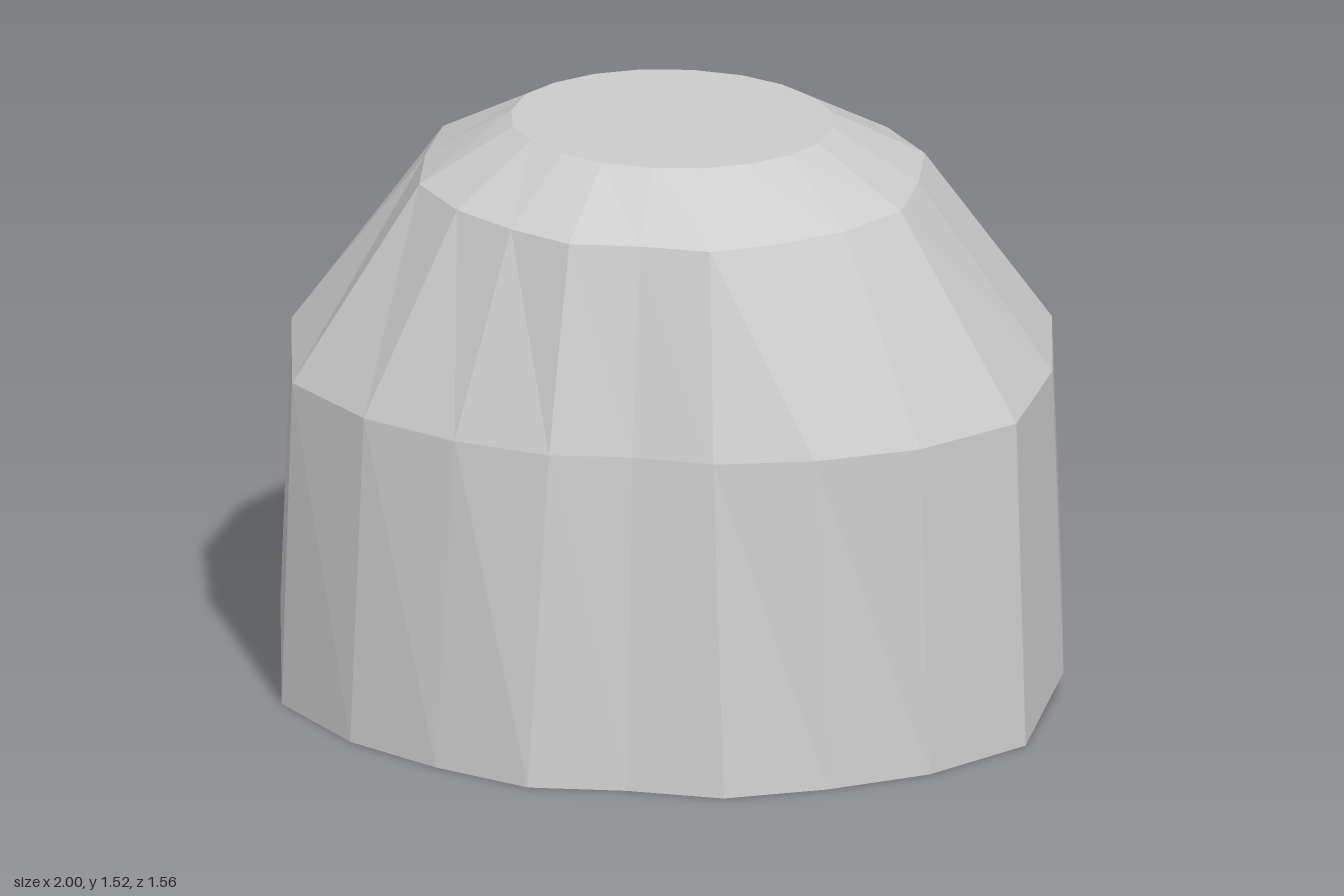
import * as THREE from 'three';

// Mirrors a quarter outline (+x axis to +z axis, 6 points) into a 20-point ring.
// heights: [front, right end (+x), left end (-x), back]
function makeRing(quarter, [front, plusX, minusX, back], scale = 1) {
  const ring = [];
  for (let i = 0; i < 20; i++) {
    const k = i % 10;
    const [x, z] = quarter[k <= 5 ? k : 10 - k];
    const sx = i > 5 && i < 15 ? -1 : 1;
    const sz = i < 10 ? 1 : -1;
    const y = i === 0 ? plusX : i === 10 ? minusX : i < 10 ? front : back;
    ring.push([x * sx * scale, y, z * sz * scale]);
  }
  return ring;
}

// Skins successive rings; a one-point ring closes an end as a fan.
function loft(name, rings, material) {
  const positions = [];
  for (let r = 0; r < rings.length - 1; r++) {
    const low = rings[r], high = rings[r + 1];
    for (let i = 0; i < 20; i++) {
      const j = (i + 1) % 20;
      const a = low[i % low.length], b = low[j % low.length];
      const c = high[i % high.length], d = high[j % high.length];
      if (high.length > 1) positions.push(...a, ...c, ...d);
      if (low.length > 1) positions.push(...a, ...d, ...b);
    }
  }
  const geometry = new THREE.BufferGeometry();
  geometry.setAttribute('position', new THREE.Float32BufferAttribute(positions, 3));
  geometry.computeVertexNormals();
  const mesh = new THREE.Mesh(geometry, material);
  mesh.name = name;
  return mesh;
}

export function createModel() {
  const group = new THREE.Group();
  group.name = 'facetedDome';
  const material = new THREE.MeshStandardMaterial({ color: 0xcccccc, flatShading: true });

  // Quarter outlines, from the x axis round to the z axis
  const rim = [[1, 0], [0.95, 0.31], [0.74, 0.54], [0.5, 0.68], [0.25, 0.78], [0, 0.765]];
  const shoulder = [[0.972, 0], [0.925, 0.3], [0.71, 0.51], [0.46, 0.63], [0.21, 0.69], [0, 0.672]];
  const crown = [[0.63, 0], [0.615, 0.2], [0.495, 0.36], [0.34, 0.47], [0.18, 0.547], [0, 0.537]];
  const cap = [[0.41, 0], [0.39, 0.11], [0.33, 0.2], [0.24, 0.273], [0.13, 0.32], [0, 0.337]];

  // The rim steps up towards the back
  const rimRing = makeRing(rim, [0, 0.08, 0.16, 0.16]);

  // Outer shell with flat top
  group.add(loft('outerShell', [
    rimRing,
    makeRing(shoulder, [0.87, 0.898, 0.925, 0.925]),
    makeRing(crown, [1.39, 1.39, 1.39, 1.39]),
    makeRing(cap, [1.525, 1.525, 1.525, 1.525]),
    [[0, 1.525, 0]],
  ], material));

  // Shallow recess underneath: fan ceiling and sloping wall
  group.add(loft('undersideRecess', [
    [[0, 0.25, 0]],
    makeRing(rim, [0.18, 0.26, 0.34, 0.34], 0.76),
    rimRing,
  ], material));

  return group;
}
